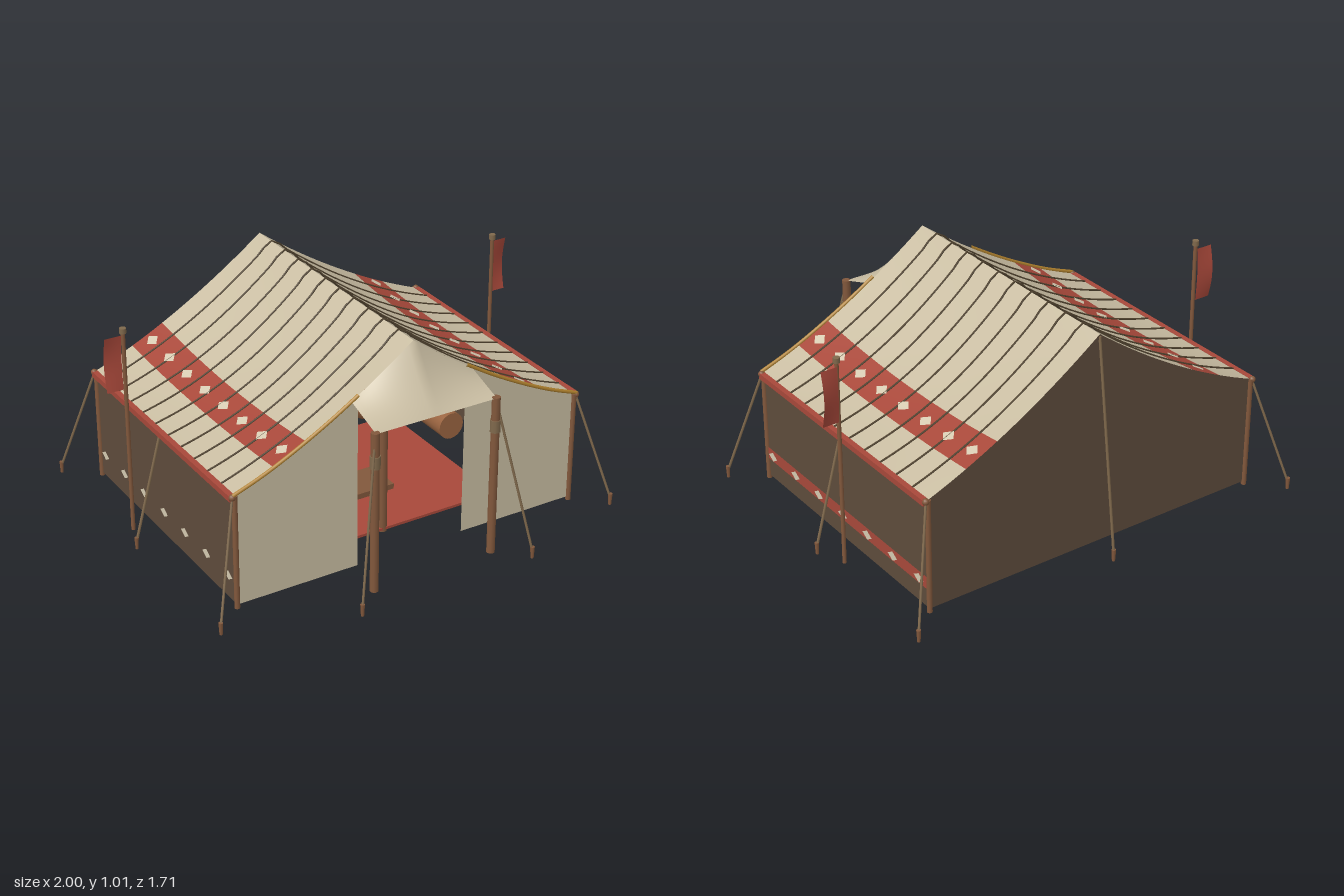
import * as THREE from 'three';

const cloth = (name, color) => new THREE.MeshStandardMaterial({ name, color, side: THREE.DoubleSide });
const solid = (name, color) => new THREE.MeshStandardMaterial({ name, color });
const M = {
  canvas: cloth('canvas', 0xc9bda2),
  dark: cloth('dark canvas', 0x5e4c3c),
  red: cloth('red cloth', 0xa8483a),
  ivory: cloth('ivory', 0xd6cbb2),
  wood: solid('wood', 0x82583c),
  rope: solid('rope', 0x80694c),
  gold: solid('gold', 0xb5852f),
  seam: solid('seam', 0x51432f),
  clay: solid('clay', 0x9a6440),
};
const FRONT = 0.54, BACK = -0.72, MID = -0.09, HALF = 0.83, EAVE = 0.54, FLOOR = 0.03;

// Height of the roof: concave from ridge to eave, sagging between the gables
function roofY(x, z) {
  const t = Math.min(Math.abs(x) / HALF, 1);
  const k = 1 - ((z - MID) / 0.63) ** 2;
  return EAVE + 0.47 * (1 - t) * (1 - 0.33 * t) - 0.04 * k * Math.sin(Math.PI * t);
}

export function createModel() {
  const root = new THREE.Group();
  root.name = 'tent';

  const add = (name, geo, mat, x = 0, y = 0, z = 0) => {
    const m = new THREE.Mesh(geo, mat);
    m.name = name;
    m.position.set(x, y, z);
    root.add(m);
    return m;
  };
  // Curved surface from a rule f(u, v) -> [x, y, z]
  const sheet = (name, mat, nu, nv, f) => {
    const g = new THREE.PlaneGeometry(1, 1, nu, nv), p = g.attributes.position;
    for (let i = 0; i < p.count; i++) p.setXYZ(i, ...f(p.getX(i) + 0.5, p.getY(i) + 0.5));
    g.computeVertexNormals();
    return add(name, g, mat);
  };
  // Small four-cornered patch laid on a surface
  const diamond = (name, f) => {
    const g = new THREE.CircleGeometry(1, 4), p = g.attributes.position;
    for (let i = 0; i < p.count; i++) p.setXYZ(i, ...f(p.getX(i), p.getY(i)));
    g.computeVertexNormals();
    return add(name, g, M.ivory);
  };
  // Straight round bar between two points
  const bar = (name, mat, a, b, r0, r1 = r0, sides = 10) => {
    const A = new THREE.Vector3(...a), B = new THREE.Vector3(...b), d = B.clone().sub(A);
    const m = add(name, new THREE.CylinderGeometry(r1, r0, d.length(), sides), mat);
    m.position.copy(A).add(B).multiplyScalar(0.5);
    m.quaternion.setFromUnitVectors(new THREE.Vector3(0, 1, 0), d.normalize());
    return m;
  };
  const guyLine = (top, foot) => {
    bar('guyRope', M.rope, top, [foot[0], 0.04, foot[1]], 0.006, 0.006, 6);
    bar('stake', M.wood, [foot[0], 0.005, foot[1]], [foot[0], 0.06, foot[1]], 0.007, 0.01, 8);
  };
  const lerp = THREE.MathUtils.lerp;

  for (const s of [-1, 1]) {
    // Roof slope in three strips, the middle one red
    for (const [a, b, mat, name] of [[0, 0.5, M.canvas, 'roofUpper'], [0.5, 0.65, M.red, 'roofBand'], [0.65, HALF, M.canvas, 'roofLower']])
      sheet(name, mat, 12, 20, (u, v) => {
        // run the strip the same way on both slopes so the faces point up
        const x = s > 0 ? lerp(a, b, u) : -lerp(b, a, u);
        const z = lerp(FRONT, BACK, v);
        return [x, roofY(x, z), z];
      });
    for (let i = 0; i < 8; i++) {
      const z0 = 0.48 - i * 0.163;
      diamond('roofDiamond', (u, v) => {
        const x = s * 0.58 + u * 0.027, z = z0 - v * 0.037;
        return [x, roofY(x, z) + 0.006, z];
      });
    }

    // Side wall with diamonds, eave roll
    sheet('sideWall', M.dark, 1, 1, (u, v) => [s * HALF, lerp(FLOOR, EAVE - 0.01, v), lerp(FRONT, BACK, s > 0 ? u : 1 - u)]);
    for (let i = 0; i < 7; i++)
      diamond('wallDiamond', (u, v) => [s * (HALF + 0.008), 0.145 + v * 0.022, 0.485 - i * 0.19 - s * u * 0.035]);
    add('eaveTrim', new THREE.BoxGeometry(0.025, 0.026, 1.26), M.red, s * 0.84, 0.53, MID);

    // Front wall panel beside the doorway
    sheet('frontWall', M.canvas, 12, 1, (u, v) => {
      const x = s > 0 ? lerp(0.26, HALF, u) : lerp(-HALF, -0.26, u);
      return [x, lerp(FLOOR, roofY(x, FRONT), v), FRONT];
    });
    // Gold edging on the front of the roof
    const edge = [0.26, 0.4, 0.55, 0.7, 0.84].map(x => new THREE.Vector3(s * x, roofY(x, FRONT) + 0.004, FRONT + 0.004));
    add('goldEdging', new THREE.TubeGeometry(new THREE.CatmullRomCurve3(edge), 16, 0.008, 6), M.gold);

    // Corner poles, mid pole and their guy ropes
    for (const [z, fz] of [[FRONT, 0.66], [BACK, -0.85]]) {
      bar('cornerPole', M.wood, [s * HALF, 0.015, z], [s * HALF, 0.54, z], 0.012);
      add('poleKnob', new THREE.SphereGeometry(0.015, 12, 8), M.wood, s * 0.84, 0.535, z);
      guyLine([s * 0.84, 0.53, z], [s * 0.97, fz]);
    }
    guyLine([s * 0.84, 0.52, MID], [s * 0.97, MID]);

    // Porch post with rope wrapping
    bar('porchPost', M.wood, [s * 0.29, 0.015, 0.72], [s * 0.29, 0.755, 0.72], 0.019);
    bar('postWrap', M.rope, [s * 0.29, 0.595, 0.72], [s * 0.29, 0.65, 0.72], 0.023);
    guyLine([s * 0.29, 0.74, 0.72], [s * 0.42, 0.84]);

    // Flag on its pole
    bar('flagPole', M.wood, [s * 0.92, 0.015, -0.225], [s * 0.92, 0.97, -0.225], 0.009);
    bar('flagPoleCap', M.rope, [s * 0.92, 0.955, -0.225], [s * 0.92, 0.978, -0.225], 0.015);
    sheet('flag', M.red, 6, 10, (u, v) => [
      s * lerp(0.925, 1, u), lerp(0.69, 0.94, v), -0.235 - 0.014 * Math.sin(v * Math.PI) * (0.4 + u)]);
  }

  // Red border along the left wall
  sheet('wallBand', M.red, 1, 1, (u, v) => [HALF + 0.004, lerp(0.118, 0.175, v), lerp(FRONT, BACK, u)]);

  // Back wall following the roof line, with its guy rope
  sheet('backWall', M.dark, 32, 1, (u, v) => {
    const x = lerp(HALF, -HALF, u);
    return [x, lerp(FLOOR, roofY(x, BACK), v), BACK];
  });
  guyLine([0, 1, BACK], [0, -0.85]);

  // Porch awning: from the gable line down to a straight front edge
  sheet('awning', M.canvas, 24, 8, (u, v) => {
    const x = lerp(-0.29, 0.29, u), w = 1 - v;
    const y = lerp(roofY(x, FRONT), 0.75, w) - 0.02 * Math.sin(Math.PI * w) * (1 - Math.abs(x) / 0.29);
    return [x, y, lerp(FRONT, 0.725, w)];
  });

  // Seams running over the roof
  for (let i = 0; i < 10; i++) {
    const z = 0.43 - i * 0.1155, pts = [];
    for (let j = -10; j <= 10; j++) pts.push(new THREE.Vector3(j * 0.083, roofY(j * 0.083, z) + 0.002, z));
    add('roofSeam', new THREE.TubeGeometry(new THREE.CatmullRomCurve3(pts), 40, 0.0045, 5), M.seam);
  }

  // Ridge pole and its two uprights
  bar('ridgePole', M.wood, [0, 0.985, -0.7], [0, 0.985, 0.52], 0.014);
  for (const z of [-0.52, 0.32]) bar('centrePole', M.wood, [0, 0.005, z], [0, 0.98, z], 0.022);

  // Carpet and low table
  add('carpet', new THREE.BoxGeometry(1.14, 0.012, 0.84), M.red, 0, 0.02, -0.08);
  add('tableTop', new THREE.BoxGeometry(0.31, 0.025, 0.18), M.wood, 0, 0.1, 0.08);
  for (const x of [-0.12, 0.12]) for (const z of [0.02, 0.14])
    add('tableLeg', new THREE.BoxGeometry(0.02, 0.065, 0.02), M.wood, x, 0.056, z);

  // Row of cushions along the right wall
  for (let i = 0; i < 5; i++) {
    const c = add('cushion', new THREE.SphereGeometry(1, 20, 12), i % 2 ? M.gold : M.ivory, -0.53, 0.065, 0.12 - i * 0.15);
    c.scale.set(0.1, 0.04, 0.07);
  }

  // Storage jars at the back and a bedroll by the left wall
  const jar = [[0, 0], [0.04, 0], [0.062, 0.05], [0.07, 0.11], [0.06, 0.17], [0.04, 0.2], [0.046, 0.22], [0.036, 0.22], [0, 0.2]]
    .map(([r, y]) => new THREE.Vector2(r, y));
  for (const x of [0.21, 0.46, 0.71]) add('jar', new THREE.LatheGeometry(jar, 24), M.clay, x, 0.025, -0.57);
  bar('bedroll', M.clay, [0.68, 0.095, -0.36], [0.68, 0.095, -0.16], 0.065, 0.065, 20);

  return root;
}
